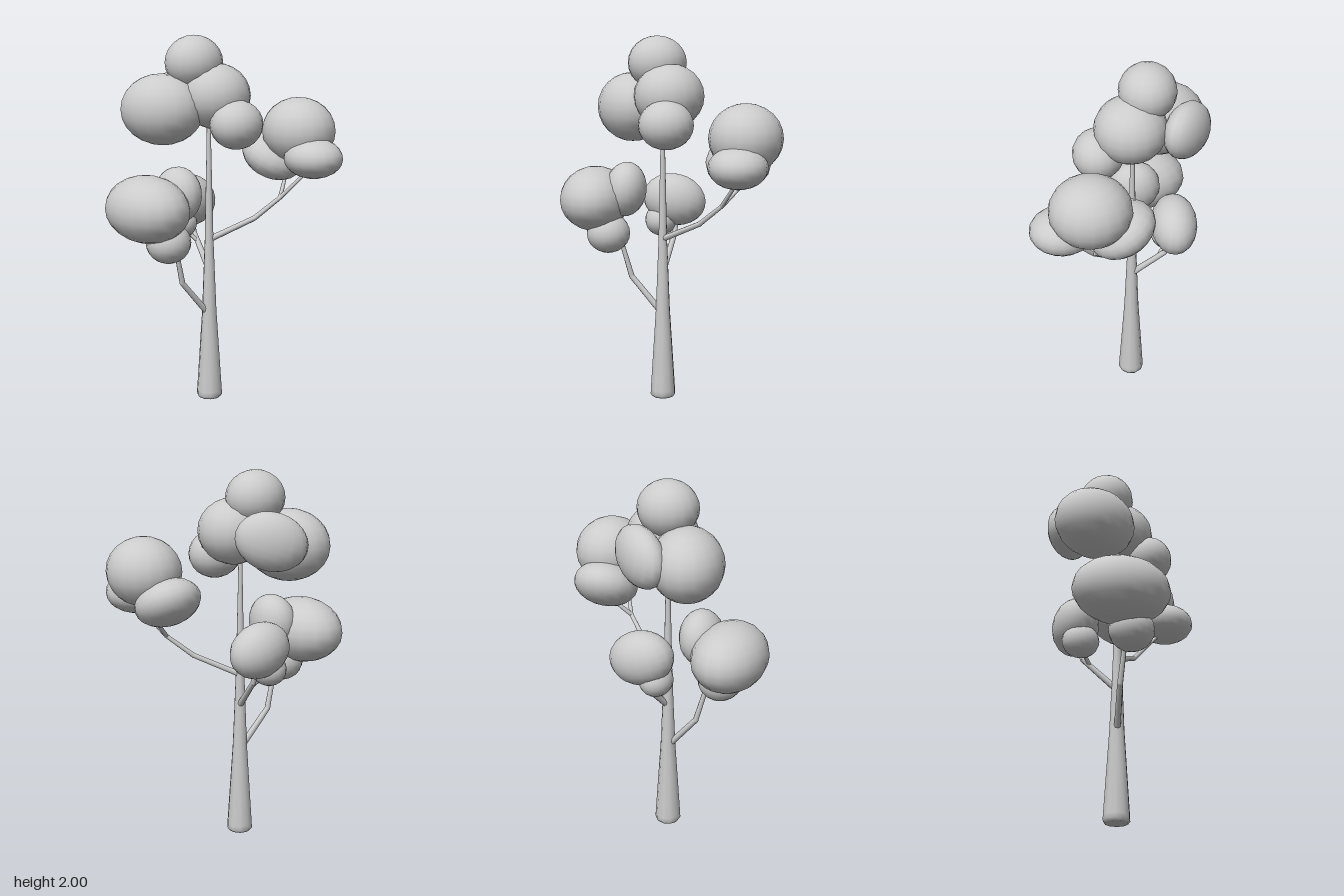
import * as THREE from 'three';

const grey = new THREE.MeshStandardMaterial({ color: 0xcccccc });
const puff = new THREE.SphereGeometry(1, 18, 12);
const V = ([x, y, z]) => new THREE.Vector3(x, y, z);

function add(parent, name, geometry) {
  const mesh = new THREE.Mesh(geometry, grey);
  mesh.name = name;
  parent.add(mesh);
  return mesh;
}

// One crown: a cluster of ellipsoids, each [centre, radii, rotation]
function crown(parent, name, blobs) {
  const group = new THREE.Group();
  group.name = name;
  for (const [centre, radii, rotation = [0, 0, 0]] of blobs) {
    const mesh = add(group, 'foliage', puff);
    mesh.position.set(...centre);
    mesh.scale.set(...radii);
    mesh.rotation.set(...rotation);
  }
  parent.add(group);
}

// A kinked branch: tapering cylinders joined by small knuckles
function branch(parent, name, points, r0, r1) {
  const group = new THREE.Group();
  group.name = name;
  const n = points.length - 1;
  const radius = (i) => r0 + ((r1 - r0) * i) / n;
  for (let i = 0; i < n; i++) {
    const a = V(points[i]), b = V(points[i + 1]);
    const dir = b.clone().sub(a);
    const seg = add(group, 'branchSegment',
      new THREE.CylinderGeometry(radius(i + 1), radius(i), dir.length(), 8));
    seg.position.copy(a).add(b).multiplyScalar(0.5);
    seg.quaternion.setFromUnitVectors(new THREE.Vector3(0, 1, 0), dir.normalize());
    if (i > 0) add(group, 'branchJoint', new THREE.SphereGeometry(radius(i), 8, 6)).position.copy(a);
  }
  parent.add(group);
}

export function createModel() {
  const tree = new THREE.Group();
  tree.name = 'tree';

  // Tapered trunk with a softened foot
  const profile = [[0, 0], [0.06, 0], [0.071, 0.015], [0.07, 0.04], [0.04, 0.5],
    [0.024, 0.9], [0.013, 1.4], [0.01, 1.6], [0, 1.6]];
  add(tree, 'trunk', new THREE.LatheGeometry(
    profile.map(([r, y]) => new THREE.Vector2(r, y)), 10)).position.set(-0.035, 0, -0.074);

  // Branches
  branch(tree, 'rightSideBranch',
    [[-0.04, 0.48, -0.075], [-0.21, 0.68, -0.1], [-0.26, 0.86, -0.09], [-0.33, 1.0, -0.09]], 0.018, 0.01);
  branch(tree, 'backBranch',
    [[-0.03, 0.73, -0.08], [0.02, 0.9, -0.25], [0.03, 1.05, -0.3]], 0.018, 0.011);
  branch(tree, 'backTwig', [[0.01, 0.86, -0.21], [-0.05, 0.95, -0.28]], 0.011, 0.009);
  branch(tree, 'leftSideBranch',
    [[-0.035, 0.9, -0.074], [0.17, 1.01, 0.07], [0.29, 1.12, 0.15], [0.38, 1.28, 0.28]], 0.017, 0.009);
  branch(tree, 'leftSideTwig', [[0.29, 1.12, 0.15], [0.42, 1.25, 0.08]], 0.012, 0.009);

  // Top crown
  crown(tree, 'topCrown', [
    [[-0.07, 1.855, -0.15], [0.16, 0.145, 0.15]],
    [[0, 1.68, -0.06], [0.19, 0.175, 0.19]],
    [[-0.215, 1.61, -0.245], [0.19, 0.19, 0.23], [0, 0.4, 0]],
    [[-0.01, 1.655, -0.35], [0.19, 0.15, 0.1], [0, -0.6, 0.3]],
    [[-0.005, 1.54, 0.105], [0.147, 0.13, 0.135]],
  ]);

  // Lower crown on the right side
  crown(tree, 'rightSideCrown', [
    [[-0.415, 1.11, -0.143], [0.195, 0.178, 0.258]],
    [[-0.24, 1.17, -0.1], [0.115, 0.15, 0.145], [0, 0, -0.1]],
    [[-0.335, 0.93, -0.07], [0.12, 0.11, 0.12]],
  ]);

  // Small crown behind the trunk
  crown(tree, 'backCrown', [
    [[0.015, 1.085, -0.295], [0.178, 0.145, 0.125], [0, 0, -0.25]],
    [[-0.06, 0.97, -0.28], [0.09, 0.09, 0.1]],
  ]);

  // Crown on the left side
  crown(tree, 'leftSideCrown', [
    [[0.413, 1.48, 0.17], [0.195, 0.182, 0.208]],
    [[0.375, 1.345, 0.31], [0.155, 0.11, 0.165]],
    [[0.375, 1.335, 0.015], [0.175, 0.12, 0.18], [0.5, 0, 0]],
  ]);

  return tree;
}
